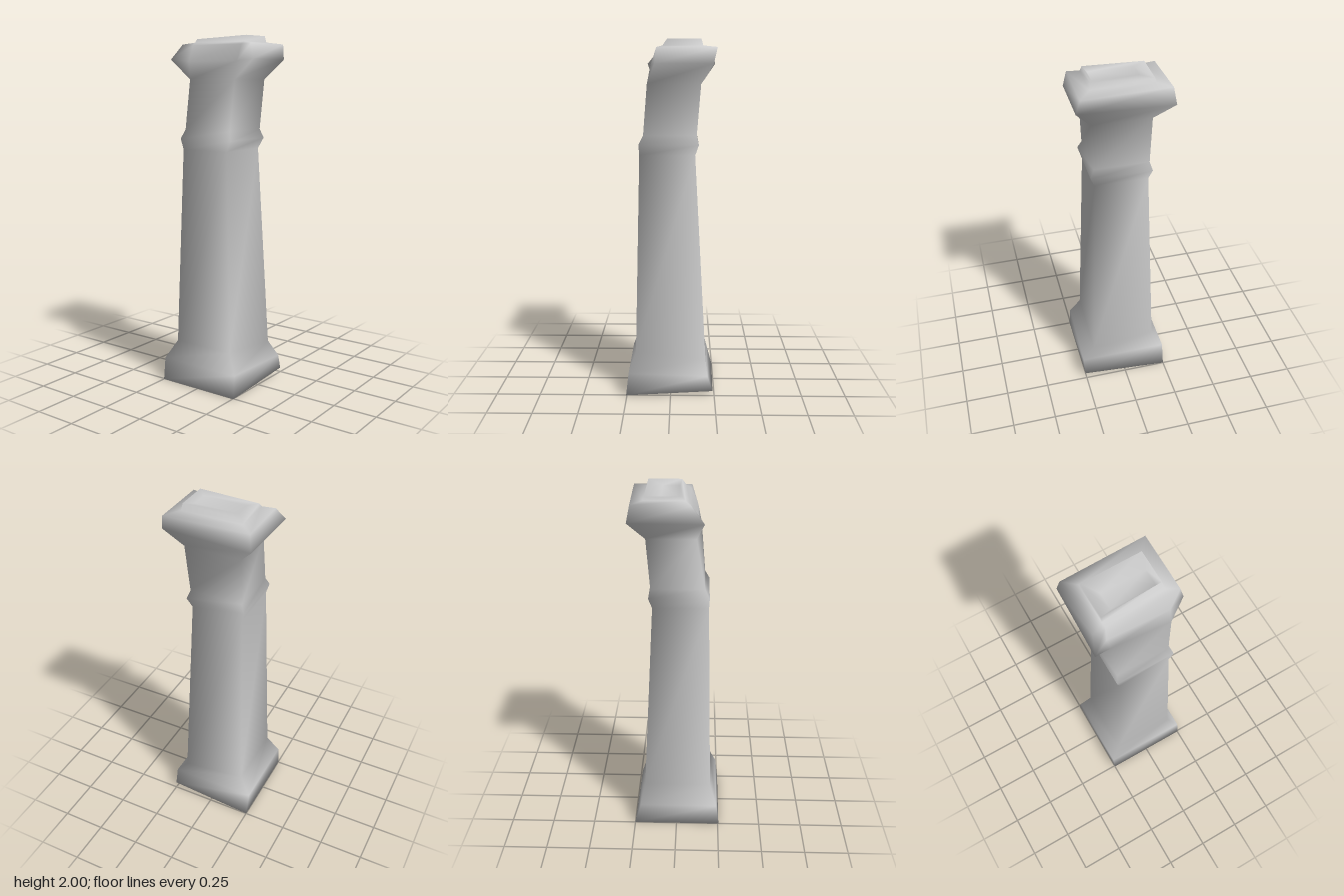
import * as THREE from 'three';
import { mergeVertices } from 'three/addons/utils/BufferGeometryUtils.js';

// One cross-section, counterclockwise from above: front left, two front points,
// front right, back right, back left. The front points fall on the corners
// unless replaced; "moved" replaces single points by index.
function ring(y, x0, x1, zBack, zFront, moved = {}) {
  const points = [
    [x0, y, zFront], [x0, y, zFront], [x1, y, zFront],
    [x1, y, zFront], [x1, y, zBack], [x0, y, zBack],
  ];
  for (const i in moved) points[i] = moved[i];
  return points;
}

// Skin a stack of cross-sections and close both ends, smooth all over
function loft(rings, bottomCentre, topCentre) {
  const n = rings[0].length;
  const positions = [...rings.flat(2), ...bottomCentre, ...topCentre];
  const index = [];
  for (let i = 0; i < rings.length - 1; i++) {
    for (let j = 0; j < n; j++) {
      const k = (j + 1) % n;
      const a = i * n + j, b = i * n + k;
      index.push(a, b, b + n, a, b + n, a + n);
    }
  }
  const low = rings.length * n, high = low + 1, last = low - n;
  for (let j = 0; j < n; j++) {
    const k = (j + 1) % n;
    index.push(low, k, j, high, last + j, last + k);
  }
  const geometry = new THREE.BufferGeometry();
  geometry.setAttribute('position', new THREE.Float32BufferAttribute(positions, 3));
  geometry.setIndex(index);
  const merged = mergeVertices(geometry, 1e-5);
  merged.computeVertexNormals();
  return merged;
}

export function createModel() {
  const group = new THREE.Group();
  group.name = 'pillar';

  const rings = [
    // plinth, its back right corner chipped
    ring(0, -0.25, 0.255, -0.25, 0.255, { 4: [0.255, 0.03, -0.24] }),
    ring(0.13, -0.25, 0.25, -0.215, 0.24, { 4: [0.258, 0.12, -0.21] }),
    ring(0.24, -0.185, 0.19, -0.19, 0.2, { 4: [0.19, 0.2, -0.2] }),
    // tapering shaft
    ring(1.37, -0.15, 0.15, -0.135, 0.175),
    // collar
    ring(1.43, -0.168, 0.175, -0.155, 0.178),
    ring(1.48, -0.152, 0.155, -0.143, 0.153),
    // neck, leaning back
    ring(1.76, -0.155, 0.17, -0.165, 0.105, { 2: [0.17, 1.76, 0.13], 3: [0.17, 1.76, 0.13] }),
    // flared capital: pointed front left corner, flat front face
    ring(1.87, -0.25, 0.258, -0.23, 0.085, {
      0: [-0.26, 1.87, 0.145], 1: [-0.17, 1.86, 0.095],
      2: [0.17, 1.86, 0.11], 5: [-0.25, 1.87, -0.255],
    }),
    ring(1.955, -0.23, 0.24, -0.25, 0.075, {
      1: [-0.16, 1.95, 0.07], 2: [0.17, 1.95, 0.07], 5: [-0.235, 1.96, -0.237],
    }),
    // raised lip and shallow hollow on top
    ring(1.965, -0.165, 0.175, -0.175, 0.045),
    ring(1.985, -0.16, 0.17, -0.168, 0.03, {
      2: [0.17, 2, 0.02], 3: [0.17, 2, 0.02], 4: [0.17, 2, -0.165],
    }),
    ring(1.97, -0.1, 0.145, -0.085, 0.01),
  ];
  const pillar = new THREE.Mesh(
    loft(rings, [0, 0, 0], [0.02, 1.968, -0.04]),
    new THREE.MeshStandardMaterial({ color: 0xcccccc, side: THREE.DoubleSide }),
  );
  pillar.name = 'pillarBody';
  group.add(pillar);
  return group;
}
